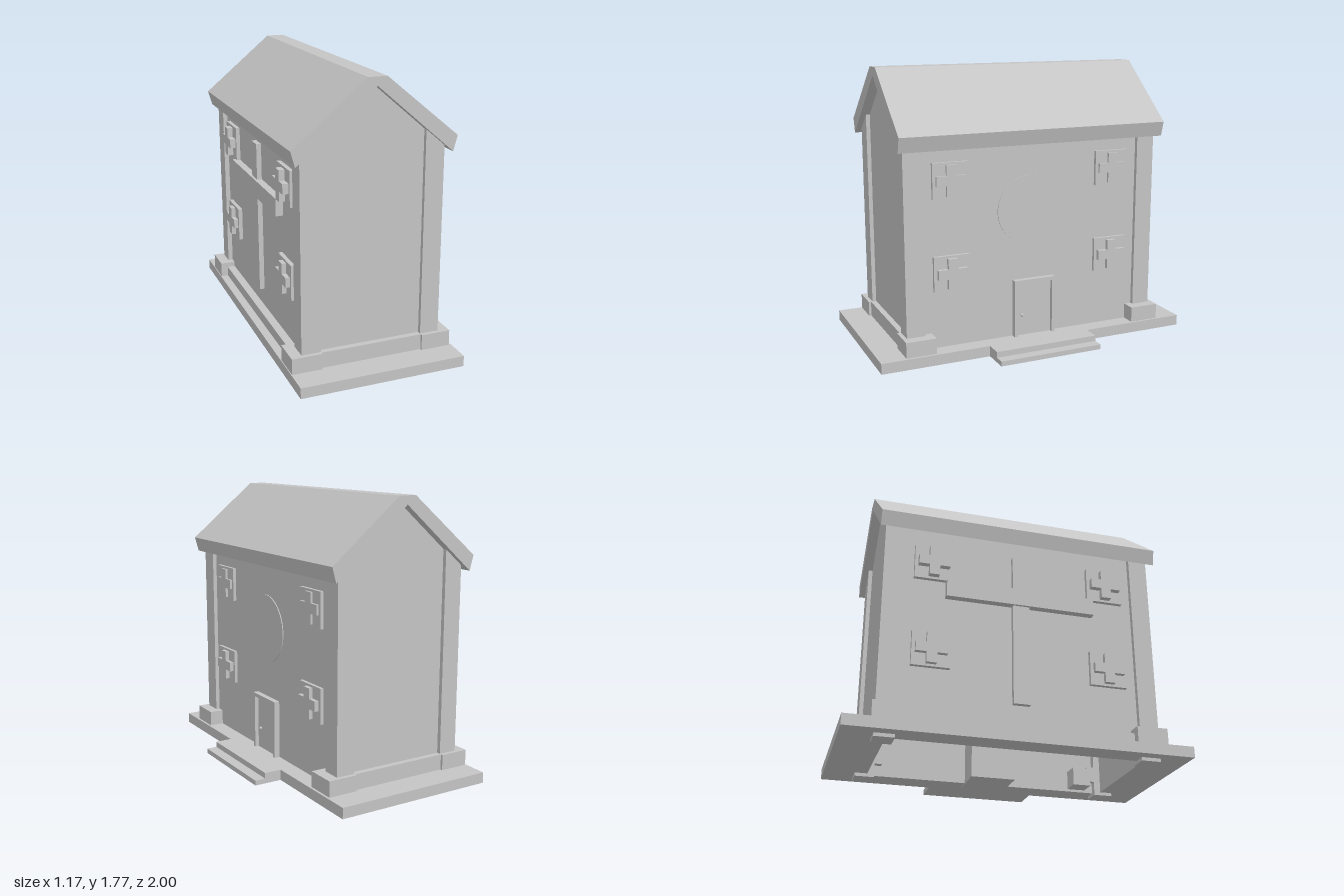
import * as THREE from 'three';

const CX = -0.09; // centre line of the house, the step makes up the rest of the width

export function createModel() {
  const model = new THREE.Group();
  model.name = 'house';
  const grey = new THREE.MeshStandardMaterial({ color: 0xc4c4c4 });
  grey.name = 'plain grey';

  const add = (name, geometry, parent = model) => {
    const mesh = new THREE.Mesh(geometry, grey);
    mesh.name = name;
    parent.add(mesh);
    return mesh;
  };
  // Box given by its limits on each axis
  const box = (name, x0, x1, y0, y1, z0, z1, parent) => {
    const g = new THREE.BoxGeometry(x1 - x0, y1 - y0, z1 - z0);
    g.translate((x0 + x1) / 2, (y0 + y1) / 2, (z0 + z1) / 2);
    return add(name, g, parent);
  };
  // Outline in x and y, extruded along z
  const prism = (name, points, z0, z1, parent) => {
    const shape = new THREE.Shape(points.map(([x, y]) => new THREE.Vector2(x, y)));
    const g = new THREE.ExtrudeGeometry(shape, { depth: z1 - z0, bevelEnabled: false });
    g.translate(0, 0, z0);
    return add(name, g, parent);
  };
  const underRoof = x => 1.725 - 0.859 * Math.abs(x - CX);

  // Base: a frame that is open in the middle, with a two-level doorstep
  const rect = (T, x0, x1, z0, z1) => new T([
    new THREE.Vector2(x0, z0), new THREE.Vector2(x1, z0),
    new THREE.Vector2(x1, z1), new THREE.Vector2(x0, z1),
  ]);
  const base = rect(THREE.Shape, -0.585, 0.415, -1, 1);
  base.holes.push(rect(THREE.Path, -0.44, 0.26, -0.745, 0.745));
  const baseGeometry = new THREE.ExtrudeGeometry(base, { depth: 0.065, bevelEnabled: false });
  baseGeometry.rotateX(-Math.PI / 2).translate(0, 0.075, 0);
  add('base', baseGeometry);
  box('upperStep', 0.415, 0.52, 0.075, 0.14, -0.33, 0.33);
  box('lowerStep', 0.52, 0.585, 0.075, 0.105, -0.33, 0.33);
  box('peg', -0.14, -0.035, 0, 0.105, 0.43, 0.535);

  // Walls
  const x0 = -0.485, x1 = 0.31;
  const gable = [
    [x0, 0.14], [x1, 0.14], [x1, underRoof(x1)], [CX, 1.725], [x0, underRoof(x0)],
  ];
  prism('frontWall', gable, 0.745, 0.795);
  prism('backWall', gable, -0.795, -0.745);
  box('leftWall', x0, -0.44, 0.14, 1.39, -0.745, 0.745);
  box('rightWall', 0.26, x1, 0.14, 1.39, -0.745, 0.745);

  // Corner posts, running down through the base as feet, and their blocks
  for (const sz of [-1, 1]) {
    const za = sz > 0 ? 0.705 : -0.82, zb = sz > 0 ? 0.82 : -0.705;
    const ba = sz > 0 ? 0.66 : -0.845, bb = sz > 0 ? 0.845 : -0.66;
    for (const [a, b] of [[-0.515, -0.4], [0.22, 0.335]]) {
      prism('cornerPost', [[a, 0.055], [b, 0.055], [b, underRoof(b)], [a, underRoof(a)]], za, zb);
    }
    box('cornerBlock', -0.58, -0.4, 0.14, 0.235, ba, bb);
    box('cornerBlock', 0.22, 0.4, 0.14, 0.235, ba, bb);
    box('plinth', -0.4, 0.22, 0.14, 0.235, sz > 0 ? 0.76 : -0.83, sz > 0 ? 0.83 : -0.76);
  }
  box('sidePlinth', -0.535, -0.47, 0.14, 0.205, -0.66, 0.66);

  // Roof
  prism('roof', [
    [-0.55, 1.33], [CX, 1.725], [0.37, 1.33], [0.395, 1.42],
    [-0.035, 1.775], [-0.145, 1.775], [-0.575, 1.42],
  ], -0.855, 0.855);

  // Windows: a plate through the wall with a raised cross
  const addWindow = (side, y, z, out) => {
    const w = new THREE.Group();
    w.name = 'window';
    const [pa, pb] = side > 0 ? [0.23, 0.33] : [-0.51, -0.41];
    const [ca, cb] = side > 0 ? [0.31, out] : [out, -0.49];
    box('windowPlate', pa, pb, y - 0.106, y + 0.106, z - 0.112, z + 0.112, w);
    box('crossUpright', ca, cb, y - 0.092, y + 0.092, z - 0.03, z + 0.03, w);
    for (const s of [-1, 1]) {
      box('crossArm', ca, cb, y - 0.03, y + 0.03, z + s * 0.061 - 0.031, z + s * 0.061 + 0.031, w);
    }
    model.add(w);
  };
  for (const z of [-0.527, 0.532]) {
    addWindow(1, 1.148, z, 0.345);
    addWindow(1, 0.596, z, 0.355);
    addWindow(-1, 1.148, z, -0.545);
    addWindow(-1, 0.596, z, -0.537);
  }

  // Round panel on the right wall
  const disc = new THREE.CylinderGeometry(0.213, 0.213, 0.008, 64);
  disc.rotateZ(-Math.PI / 2).translate(0.312, 0.93, 0.02);
  add('roundPanel', disc);

  // Door with its frame and knob
  box('door', 0.09, 0.32, 0.07, 0.476, -0.116, 0.116);
  box('doorPost', 0.09, 0.345, 0.07, 0.476, 0.116, 0.136);
  box('doorPost', 0.09, 0.345, 0.07, 0.476, -0.136, -0.116);
  box('doorLintel', 0.09, 0.345, 0.476, 0.498, -0.136, 0.136);
  const knob = new THREE.SphereGeometry(0.01, 16, 12);
  knob.translate(0.325, 0.27, 0.078);
  add('doorKnob', knob);

  // Large cross on the left wall
  box('crossPost', -0.515, -0.4, 0.32, 1.26, -0.05, 0.05);
  box('crossBeam', -0.53, -0.485, 0.935, 1.04, -0.45, 0.45);

  return model;
}
